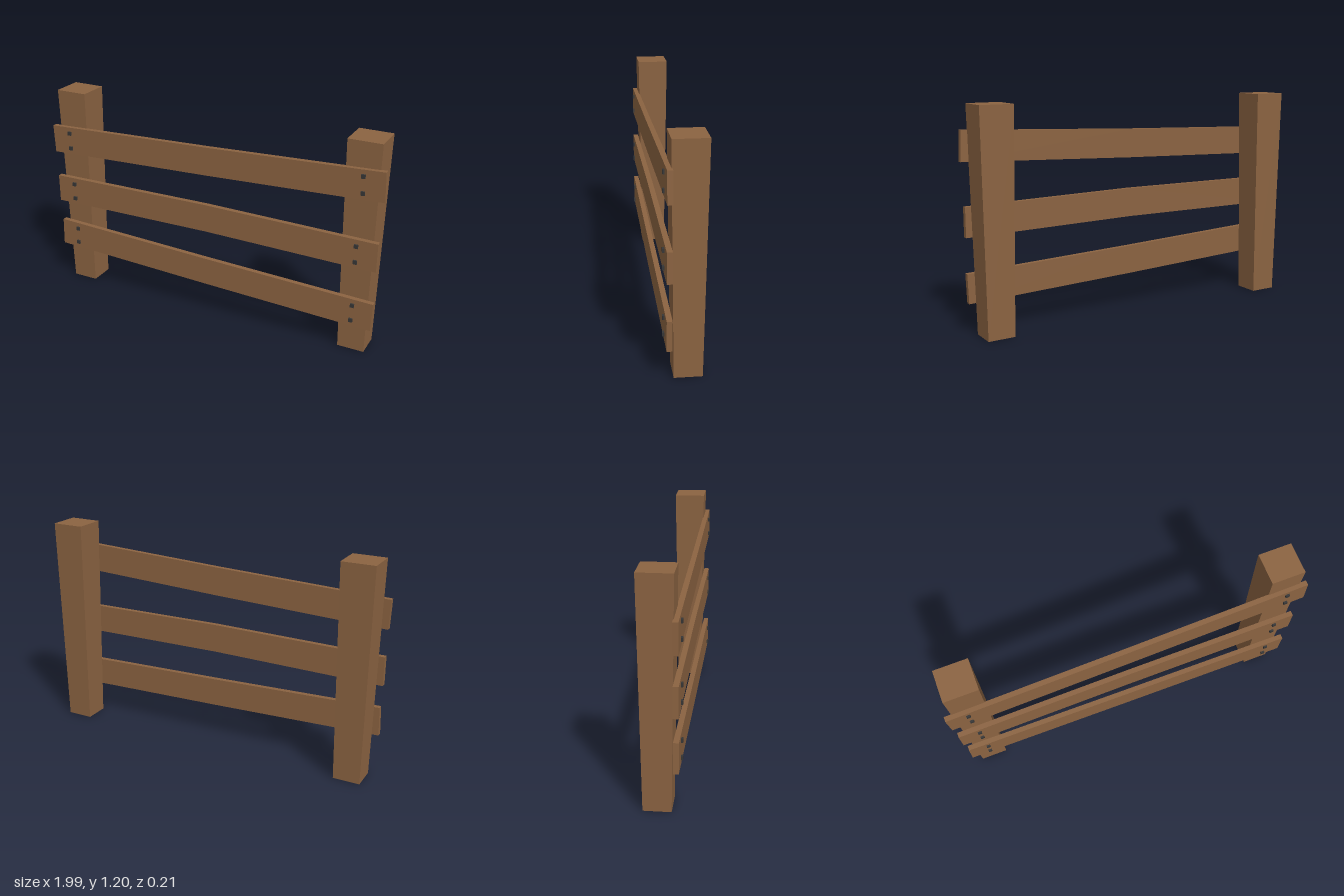
import * as THREE from 'three';

const wood = new THREE.MeshStandardMaterial({ color: 0x8b6341 });
wood.name = 'wood';
const iron = new THREE.MeshStandardMaterial({ color: 0x363636 });
iron.name = 'iron';

const HEIGHT = 1.198;
const BOARD_BACK = 0.066, BOARD_DEPTH = 0.028;

function addMesh(parent, name, geometry, material) {
  const mesh = new THREE.Mesh(geometry, material);
  mesh.name = name;
  parent.add(mesh);
  return mesh;
}

// Square post, wider at the top than at the foot
function makePost(parent, name, x) {
  const geo = new THREE.BoxGeometry(0.183, HEIGHT, 0.175);
  const pos = geo.attributes.position;
  for (let i = 0; i < pos.count; i++) {
    if (pos.getY(i) < 0) {
      pos.setX(i, pos.getX(i) * 0.81);
      pos.setZ(i, pos.getZ(i) * 0.81);
    }
  }
  geo.computeVertexNormals();
  addMesh(parent, name, geo, wood).position.set(x, HEIGHT / 2, -0.0155);
}

// Plank with a slight bend at mid-span, plus two bolts near each end
function makeRail(parent, { name, x, y, length, tilt, bend, bolts }) {
  const rail = new THREE.Group();
  rail.name = name;
  rail.position.set(x, y, BOARD_BACK);
  rail.rotation.z = tilt;
  parent.add(rail);

  const l = length / 2, h = 0.08;
  const outline = new THREE.Shape([
    [-l, -h], [0, bend - h], [l, -h], [l, h], [0, bend + h], [-l, h],
  ].map(([px, py]) => new THREE.Vector2(px, py)));
  addMesh(rail, 'plank',
    new THREE.ExtrudeGeometry(outline, { depth: BOARD_DEPTH, bevelEnabled: false }), wood);

  for (const side of [-1, 1]) {
    for (const row of [-1, 1]) {
      addMesh(rail, 'bolt', new THREE.BoxGeometry(0.021, 0.021, 0.02), iron)
        .position.set(side * bolts, row * 0.045, BOARD_DEPTH);
    }
  }
}

export function createModel() {
  const fence = new THREE.Group();
  fence.name = 'fence';

  makePost(fence, 'rightPost', -0.869);
  makePost(fence, 'leftPost', 0.866);

  makeRail(fence, { name: 'topRail', x: 0, y: 0.946, length: 1.988, tilt: 0.04, bend: -0.004, bolts: 0.88 });
  makeRail(fence, { name: 'middleRail', x: -0.002, y: 0.595, length: 1.966, tilt: 0, bend: 0.011, bolts: 0.87 });
  makeRail(fence, { name: 'bottomRail', x: 0, y: 0.277, length: 1.96, tilt: -0.0325, bend: -0.003, bolts: 0.87 });

  return fence;
}
